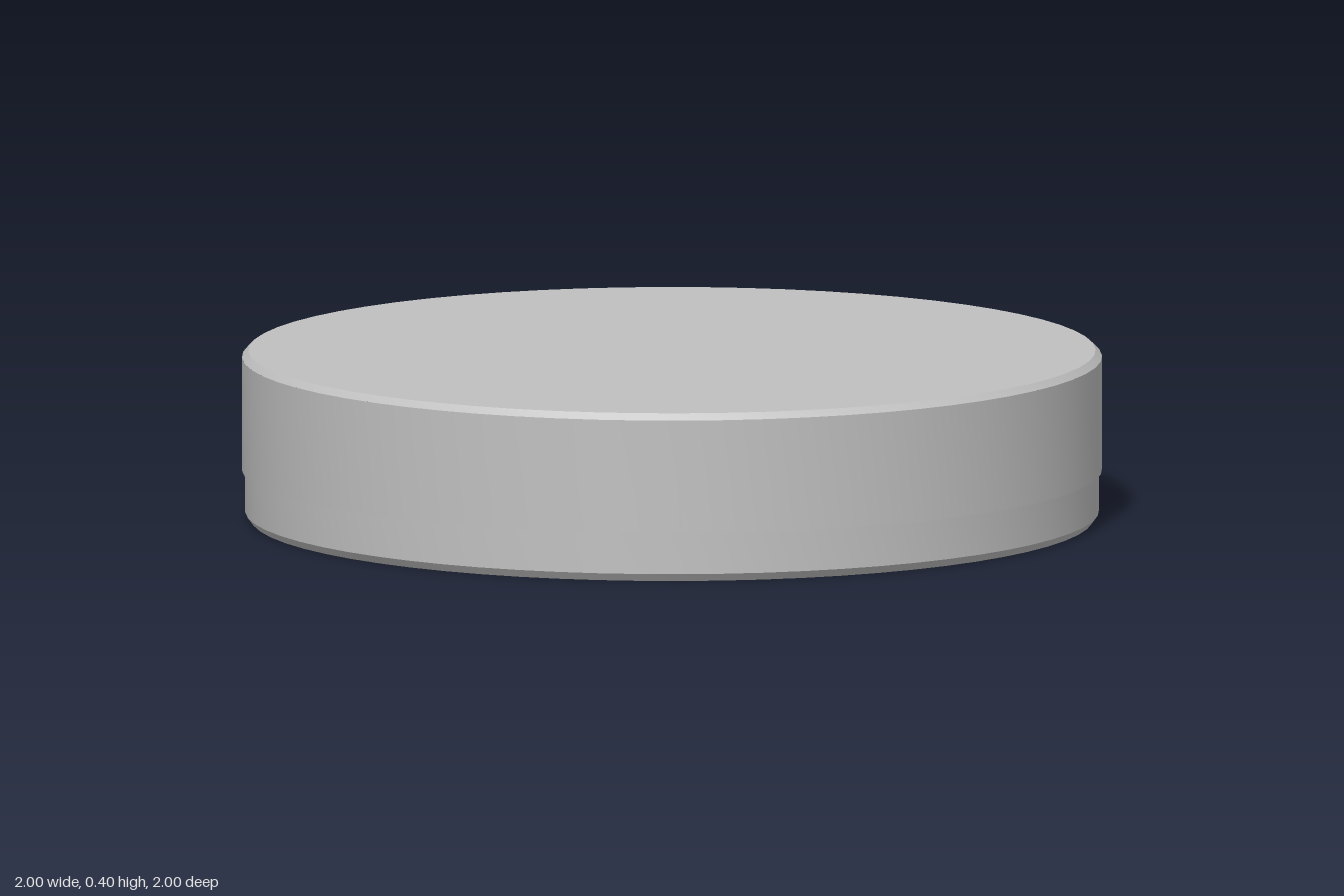
import * as THREE from 'three';
import { toCreasedNormals } from 'three/addons/utils/BufferGeometryUtils.js';

const steel = new THREE.MeshStandardMaterial({ color: 0xc0c0c0 });
steel.name = 'steel grey';
const steelOpen = steel; // one colour throughout

const rad = THREE.MathUtils.degToRad;
const polar = (r, deg) => new THREE.Vector2(r * Math.cos(rad(deg)), r * Math.sin(rad(deg)));

// Closed polygon ring around a centre
function ring(r, c = new THREE.Vector2(), n = 32) {
  const pts = [];
  for (let i = 0; i < n; i++) pts.push(polar(r, (i * 360) / n).add(c));
  return pts;
}

// Horizontal plate between two heights, with holes
function plate(name, outline, holes, y0, y1) {
  const shape = new THREE.Shape(outline);
  for (const h of holes) shape.holes.push(new THREE.Path(h));
  const geo = new THREE.ExtrudeGeometry(shape, { depth: y1 - y0, bevelEnabled: false });
  geo.rotateX(-Math.PI / 2).translate(0, y0, 0);
  const mesh = new THREE.Mesh(toCreasedNormals(geo, 0.4), steel);
  mesh.name = name;
  return mesh;
}

function lathe(name, profile, start = 0, length = Math.PI * 2) {
  const pts = profile.map(([r, y]) => new THREE.Vector2(r, y));
  const geo = new THREE.LatheGeometry(pts, 64, start, length);
  const mesh = new THREE.Mesh(toCreasedNormals(geo, 0.4), steelOpen);
  mesh.name = name;
  return mesh;
}

export function createModel() {
  const model = new THREE.Group();
  const H = 0.395, FLOOR = 0.094, DEEP = 0.15;
  const pocketAngles = [95, -25, -145], pocketD = 0.54, pocketR = 0.128;

  // Central recess outline, widened by three round screw pockets
  function recess(R) {
    const pts = [];
    for (let a = 0; a < 360; a += 1) {
      let r = R;
      for (const p of pocketAngles) {
        const d = rad(a - p), k = pocketR ** 2 - (pocketD * Math.sin(d)) ** 2;
        if (Math.cos(d) > 0 && k > 0) r = Math.max(r, pocketD * Math.cos(d) + Math.sqrt(k));
      }
      pts.push(polar(r, a));
    }
    return pts;
  }

  // Screw and hole positions on the underside
  const screws = [], holes = [];
  for (let k = 0; k < 3; k++) {
    [120, 106, 83, 69].forEach((a, i) => {
      if (!(k === 1 && i === 0)) screws.push(polar(0.74, a - 120 * k));
    });
    holes.push(ring(0.05, polar(0.79, 95 - 120 * k)), ring(0.05, polar(0.79, 35 - 120 * k)));
  }
  holes.push(ring(0.06, polar(0.79, 5)));
  holes.push(ring(0.116, polar(0.692, 50)), ring(0.116, polar(0.692, -100)));
  for (const s of screws) holes.push(ring(0.082, s));

  // Base plate in two layers, giving the recess a small lip
  const outer = ring(0.98, undefined, 64);
  model.add(plate('basePlateLip', outer, [recess(0.508), ...holes], 0, 0.015));
  model.add(plate('basePlate', outer, [recess(0.487), ...holes], 0.015, FLOOR));

  // Recess floor with centre hole and pocket bottoms, then a closing disc
  const pockets = pocketAngles.map((a) => polar(pocketD, a));
  model.add(plate('recessFloor', outer,
    [ring(0.025, undefined, 16), ...pockets.map((c) => ring(pocketR, c))], FLOOR, DEEP));
  model.add(plate('innerDisc', outer, [], DEEP, DEEP + 0.02));

  // Socket head screws
  screws.forEach((s) => model.add(plate('smallScrew', ring(0.081, s), [ring(0.043, s, 6)], 0.02, FLOOR)));
  pockets.forEach((s) => model.add(plate('largeScrew', ring(0.124, s), [ring(0.075, s, 6)], 0.085, DEEP)));

  // Lower rim with chamfer and the small step under the cover
  model.add(lathe('lowerRim', [[0.98, 0], [0.993, 0.018], [0.993, 0.115], [1, 0.115]]));

  // Cover wall, open at the front for a narrow slot
  const gap = 0.005;
  model.add(lathe('coverWall', [[1, 0.115], [1, 0.38]], gap, Math.PI * 2 - 2 * gap));
  model.add(lathe('coverTop', [[0.96, 0.38], [1, 0.38], [0.985, H], [0, H]]));

  // Slot sides and back
  const slotH = 0.265, slotY = 0.2475, depth = 0.02;
  for (const side of [-1, 1]) {
    const cheek = new THREE.Mesh(new THREE.PlaneGeometry(depth, slotH), steel);
    cheek.rotation.y = (-side * Math.PI) / 2;
    cheek.position.set(side * gap, slotY, 1 - depth / 2);
    cheek.name = 'slotSide';
    model.add(cheek);
  }
  const back = new THREE.Mesh(new THREE.PlaneGeometry(gap * 2, slotH), steel);
  back.position.set(0, slotY, 1 - depth);
  back.name = 'slotBack';
  model.add(back);

  return model;
}
